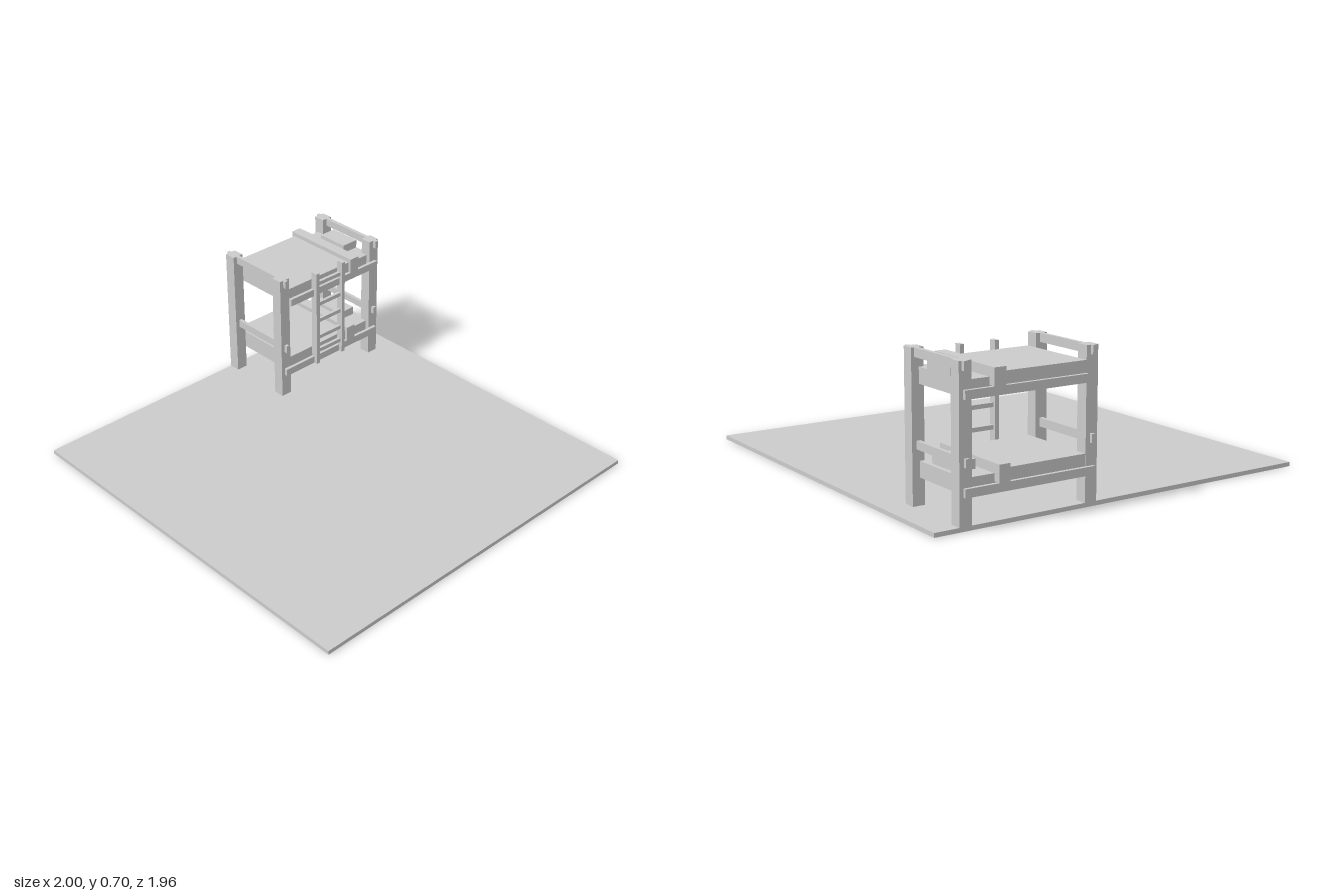
import * as THREE from 'three';

const grey = new THREE.MeshStandardMaterial({ color: 0xcccccc, flatShading: true });

// Box given by its low and high limits on each axis
function block(parent, name, [x0, x1], [y0, y1], [z0, z1]) {
  const mesh = new THREE.Mesh(new THREE.BoxGeometry(x1 - x0, y1 - y0, z1 - z0), grey);
  mesh.position.set((x0 + x1) / 2, (y0 + y1) / 2, (z0 + z1) / 2);
  mesh.name = name;
  parent.add(mesh);
}

function addGroup(parent, name) {
  const group = new THREE.Group();
  group.name = name;
  parent.add(group);
  return group;
}

export function createModel() {
  const model = new THREE.Group();
  model.name = 'bunkBedOnFloor';
  block(model, 'floor', [-0.983, 1], [0, 0.02], [-0.98, 0.98]);

  // Corner posts
  const frame = addGroup(model, 'frame');
  for (const x of [[-0.985, -0.925], [-0.625, -0.567]])
    for (const z of [[-0.862, -0.802], [-0.232, -0.172]])
      block(frame, 'post', x, [0.02, 0.697], z);

  // Head and foot rails, running past the posts
  const across = [-1, -0.55];
  block(frame, 'upperHeadRail', across, [0.657, 0.697], [-0.848, -0.828]);
  block(frame, 'upperFootRail', across, [0.657, 0.697], [-0.21, -0.193]);
  block(frame, 'lowerHeadRail', across, [0.265, 0.302], [-0.84, -0.822]);
  block(frame, 'lowerFootRail', across, [0.28, 0.32], [-0.21, -0.193]);

  // Two bunks: side rails, mattress, blanket with turned-back fold, pillow
  const bunks = [
    { name: 'lowerBunk', y: 0.142, foot: -0.192, fold: [-0.68, -0.625], pillow: [-0.805, -0.705] },
    { name: 'upperBunk', y: 0.542, foot: -0.23, fold: [-0.703, -0.647], pillow: [-0.825, -0.73] },
  ];
  for (const { name, y, foot, fold, pillow } of bunks) {
    const bunk = addGroup(model, name);
    for (const x of [[-1, -0.983], [-0.567, -0.55]])
      block(bunk, 'sideRail', x, [y, y + 0.038], [-0.842, foot]);
    block(bunk, 'mattress', [-0.963, -0.59], [y, y + 0.072], [-0.826, -0.235]);
    block(bunk, 'blanket', [-0.983, -0.567], [y + 0.002, y + 0.093], [fold[1], -0.232]);
    block(bunk, 'blanketFold', across, [y + 0.038, y + 0.115], fold);
    block(bunk, 'pillow', [-0.863, -0.69], [y + 0.072, y + 0.115], pillow);
  }

  // Ladder on the open side
  const ladder = addGroup(model, 'ladder');
  for (const z of [[-0.586, -0.566], [-0.408, -0.386]])
    block(ladder, 'ladderUpright', [-0.567, -0.53], [0.142, 0.675], z);
  for (const y of [0.21, 0.29, 0.39, 0.487, 0.608])
    block(ladder, 'ladderRung', [-0.558, -0.541], [y - 0.01, y + 0.01], [-0.566, -0.408]);

  return model;
}
